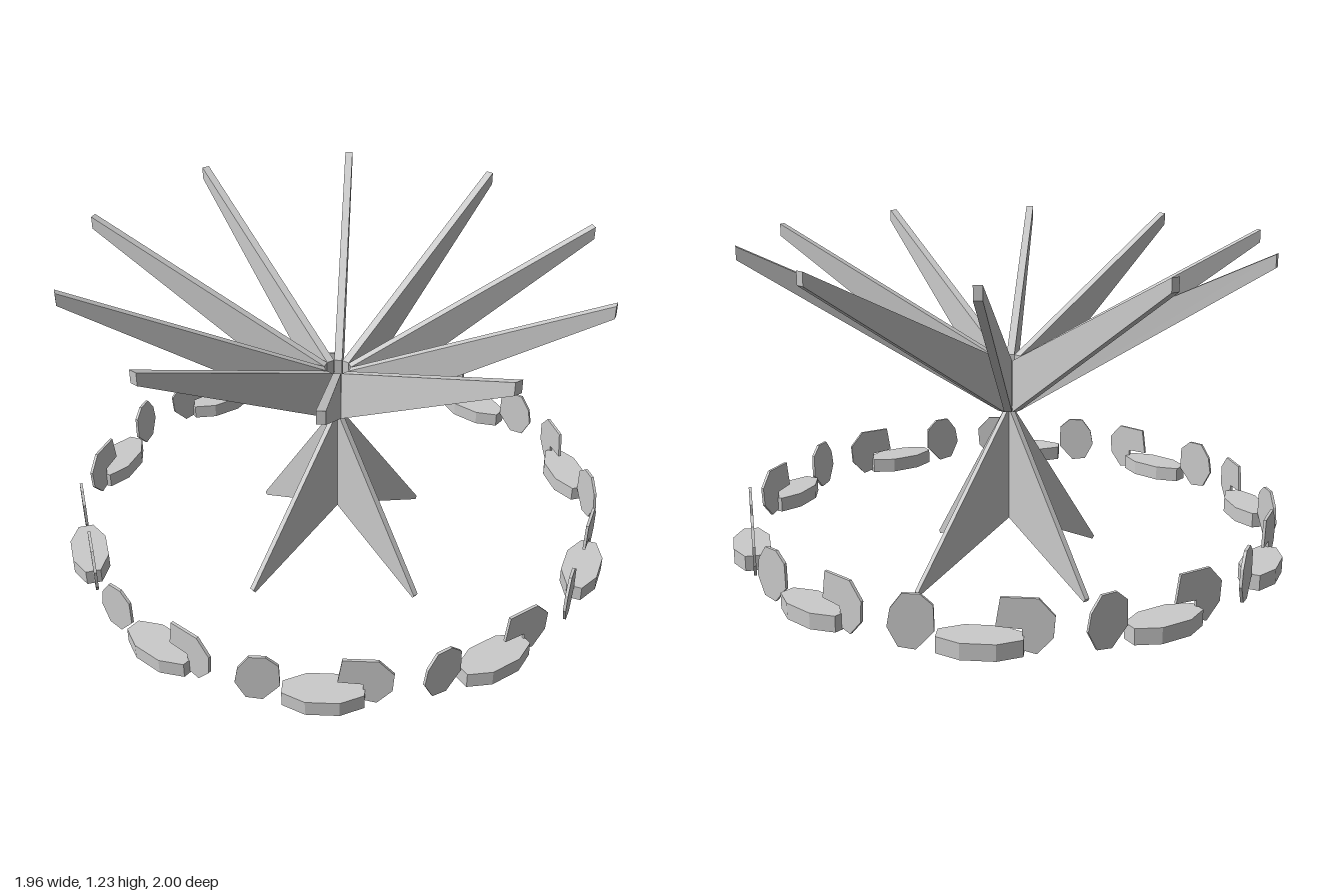
import * as THREE from 'three';

const material = new THREE.MeshStandardMaterial({ color: 0xcccccc, flatShading: true });

// Flat plate cut from an outline, centred on its thickness
function plate(name, points, thickness) {
  const shape = new THREE.Shape(points.map(([x, y]) => new THREE.Vector2(x, y)));
  const geometry = new THREE.ExtrudeGeometry(shape, { depth: thickness, bevelEnabled: false });
  geometry.translate(0, 0, -thickness / 2);
  const mesh = new THREE.Mesh(geometry, material);
  mesh.name = name;
  return mesh;
}

// Turns a part around the vertical axis
function spoke(name, angle, ...parts) {
  const group = new THREE.Group();
  group.name = name;
  group.add(...parts);
  group.rotation.y = angle;
  return group;
}

// One ride figure: octagonal body with a round tail plate and a notched head plate
function createSeat() {
  const seat = new THREE.Group();
  seat.name = 'seat';
  const body = new THREE.Mesh(
    new THREE.CylinderGeometry(1, 1, 0.055, 8).rotateY(Math.PI / 8).scale(0.143, 1, 0.069),
    material
  );
  body.name = 'seatBody';
  body.position.set(0, 0.15, 0.937);

  const tail = plate('tailPlate', [
    [-0.235, 0.3], [-0.18, 0.3], [-0.14, 0.265], [-0.138, 0.18],
    [-0.195, 0.118], [-0.25, 0.125], [-0.283, 0.19], [-0.272, 0.25],
  ], 0.01);
  const head = plate('headPlate', [
    [0.06, 0.3], [0.175, 0.3], [0.225, 0.245], [0.22, 0.175],
    [0.17, 0.12], [0.13, 0.13], [0.125, 0.2], [0.045, 0.205],
  ], 0.01);
  tail.position.z = head.position.z = 0.932;
  seat.add(body, tail, head);
  return seat;
}

export function createModel() {
  const model = new THREE.Group();
  model.name = 'carousel';

  // Four tapered fin legs on the diagonals
  for (let i = 0; i < 4; i++) {
    const leg = plate('leg', [[0, 0.61], [0, 0.2], [0.42, 0], [0.427, 0.012], [0.015, 0.61]], 0.02);
    model.add(spoke('legSpoke', Math.PI / 4 + i * Math.PI / 2, leg));
  }

  // Ten rising arms with a seat below each tip
  for (let i = 0; i < 10; i++) {
    const angle = i * Math.PI / 5;
    const arm = plate('arm', [[0.045, 0.61], [0.932, 1.185], [0.932, 1.23], [0.045, 0.8]], 0.028);
    arm.rotation.y = -Math.PI / 2;
    model.add(spoke('armAndSeat', angle, arm, createSeat()));
  }
  return model;
}
